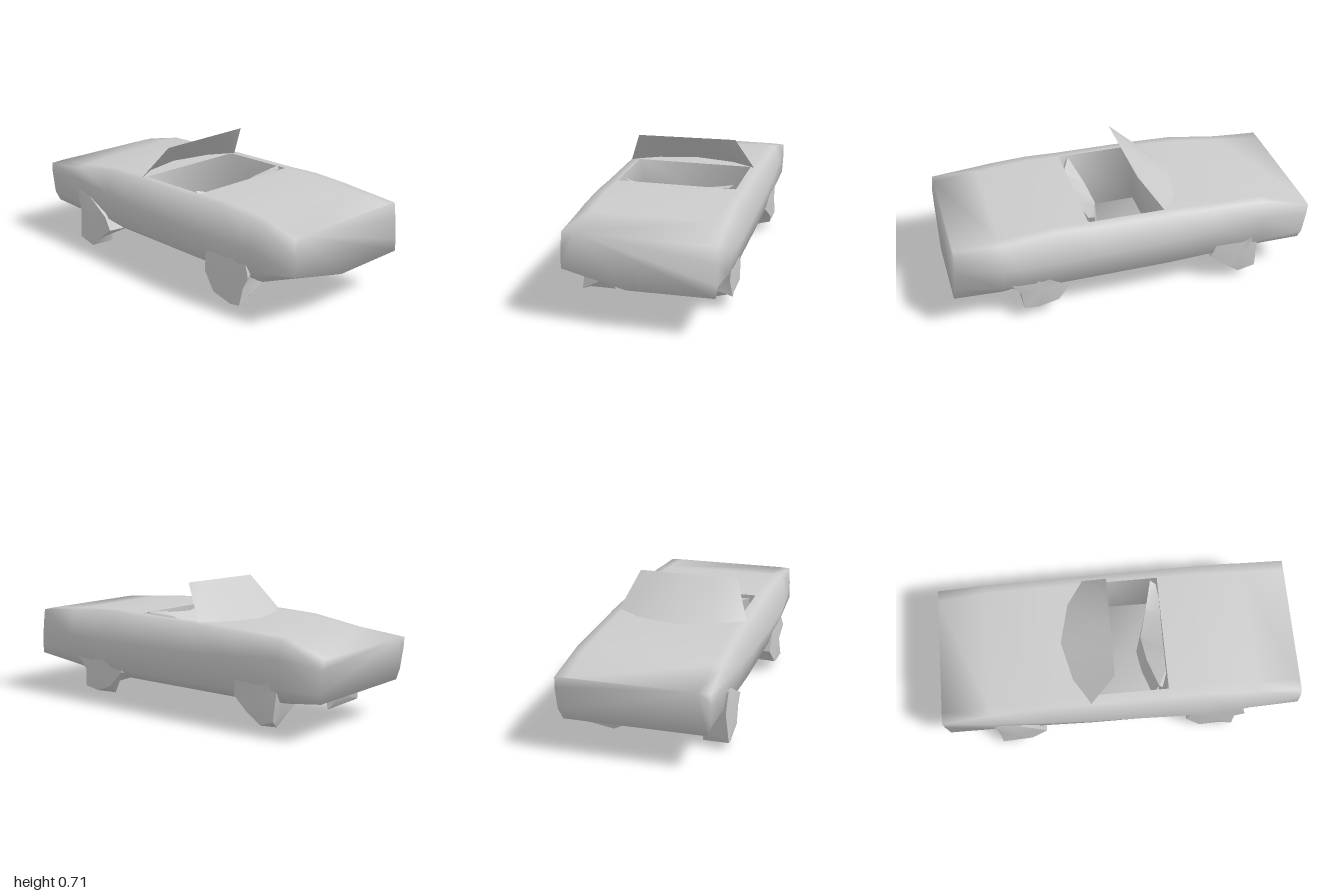
import * as THREE from 'three';
import { toCreasedNormals } from 'three/addons/utils/BufferGeometryUtils.js';

const material = new THREE.MeshStandardMaterial({ color: 0xcccccc, side: THREE.DoubleSide });

// Mesh from a list of triangles, each three [x, y, z] corners
function meshOf(name, tris, crease) {
  const geo = new THREE.BufferGeometry();
  geo.setAttribute('position', new THREE.Float32BufferAttribute(tris.flat(2), 3));
  const mesh = new THREE.Mesh(toCreasedNormals(geo, crease), material);
  mesh.name = name;
  return mesh;
}
const quad = (a, b, c, d) => [[a, b, c], [a, c, d]];

// Triangles joining two equally long rows of points
function strip(a, b) {
  const out = [];
  for (let i = 0; i < a.length - 1; i++) out.push(...quad(a[i], a[i + 1], b[i + 1], b[i]));
  return out;
}

// Body stations: x at top, x at bottom, then y and half width of top, belt, sill and underside
const stations = [
  [-0.995, -0.965, 0.44, 0.385, 0.38, 0.39, 0.26, 0.385, 0.205, 0.36],
  [-0.73, -0.73, 0.503, 0.37, 0.41, 0.405, 0.24, 0.38, 0.165, 0.31],
  [-0.43, -0.43, 0.515, 0.37, 0.39, 0.415, 0.21, 0.375, 0.145, 0.29],
  [-0.18, -0.18, 0.525, 0.37, 0.375, 0.422, 0.205, 0.38, 0.145, 0.29],
  [0.25, 0.25, 0.53, 0.37, 0.37, 0.432, 0.205, 0.38, 0.145, 0.29],
  [0.44, 0.44, 0.537, 0.37, 0.37, 0.435, 0.205, 0.38, 0.145, 0.29],
  [0.64, 0.64, 0.525, 0.375, 0.37, 0.425, 0.21, 0.38, 0.146, 0.28],
  [0.73, 0.73, 0.517, 0.375, 0.375, 0.415, 0.24, 0.38, 0.185, 0.34],
  [0.975, 0.998, 0.495, 0.38, 0.4, 0.385, 0.29, 0.385, 0.228, 0.375],
];
const FRONT = 3, FLOOR = 0.2, OPEN = 0.32;

// Ring around the body, from the left edge of the opening under the car to the right edge
function ring([xt, xb, yt, zt, yb, zb, yl, zl, y0, z0]) {
  const xAt = (y) => xb + (xt - xb) * (y - y0) / (yt - y0);
  const side = [[yt, OPEN], [yt - 0.003, zt], [yb, zb], [yl, zl], [y0, z0]];
  const left = side.map(([y, z]) => [xAt(y), y, z]);
  // The right flank is slightly fuller
  const right = side.map(([y, z]) => [xAt(y), y, -Math.min(z + 0.018, 0.436)]);
  return [...left, ...right.reverse()];
}

function body() {
  const rings = stations.map(ring);
  const tail = rings[rings.length - 1];
  // The hood is lower on its left, and the lower left tail corner is cut away
  rings[1][0][1] = 0.474;
  rings[1][1][1] = 0.466;
  tail[3] = [0.982, 0.3, 0.387];
  tail[4] = [1, 0.226, 0.05];
  const tris = [];
  rings.slice(0, -1).forEach((r, i) => {
    const n = rings[i + 1];
    tris.push(...strip(r, n));
    // Hood and rear deck, leaving the cockpit open
    if (i !== FRONT) tris.push(...quad(r[9], r[0], n[0], n[9]));
  });
  // Nose and tail faces
  for (const [r, flip] of [[rings[0], false], [tail, true]]) {
    for (let i = 1; i < r.length - 1; i++) {
      tris.push(flip ? [r[0], r[i], r[i + 1]] : [r[0], r[i + 1], r[i]]);
    }
  }
  return meshOf('body', tris, 1.8);
}

// Tub with a sloping left wall
function cockpit() {
  const a = ring(stations[FRONT]), b = ring(stations[FRONT + 1]);
  const top = [a[0], b[0], b[9], a[9], a[0]];
  const low = top.map(([x, , z]) => [x > 0 ? x - 0.03 : x, FLOOR, z * (z > 0 ? 0.8 : 0.95)]);
  return meshOf('cockpitTub', [...strip(low, top), ...quad(low[0], low[1], low[2], low[3])], 1.8);
}

// Windscreen bowed forward at its base
function windscreen() {
  const base = [[-0.18, 0.37], [-0.27, 0.22], [-0.32, 0], [-0.27, -0.22], [-0.18, -0.36]]
    .map(([x, z]) => [x, 0.517, z]);
  const top = base.map(([, , z]) => [-0.04, 0.715 - z * 0.01, z * 0.76]);
  return meshOf('windscreen', strip(top, base), 1.2);
}

// Folded seat backs
function seats() {
  const top = [[0.2, 0.53, 0.3], [0.15, 0.46, 0.12], [0.13, 0.42, -0.03], [0.17, 0.5, -0.16], [0.21, 0.54, -0.32]];
  const rear = [[0.22, 0.5, 0.3], [0.26, 0.5, 0.18], [0.28, 0.52, 0.1], [0.26, 0.52, -0.12], [0.24, 0.53, -0.3]];
  const foot = top.map(([x, , z]) => [x - 0.02, FLOOR, z * 0.8]);
  return meshOf('seatBacks', [...strip(foot, top), ...strip(top, rear)], 0.5);
}

// Crumpled wheel: an outer rim, a jagged inner rim and a hub point on each face
function wheel(name, outline, s, [cx, cy], innerHub, lift) {
  const outer = outline.map(([x, y], i) => [x, y + lift, s * (i % 2 ? 0.39 : 0.405)]);
  const inner = outline.map(([x, y], i) => {
    const k = i % 2 ? 1 : 0.65;
    return [cx + (x - cx) * k, cy + (y - cy) * k, s * (i % 2 ? 0.245 : 0.29)];
  });
  outer.push(outer[0]);
  inner.push(inner[0]);
  const tris = strip(outer, inner);
  for (const [row, hub] of [[outer, [cx, cy, s * 0.41]], [inner, innerHub]]) {
    for (let i = 0; i < row.length - 1; i++) tris.push([row[i], row[i + 1], hub]);
  }
  return meshOf(name, tris, 0.9);
}

export function createModel() {
  const car = new THREE.Group();
  car.name = 'convertibleCar';
  car.add(body(), cockpit(), windscreen(), seats());

  const frontRim = [[-0.72, 0.33], [-0.71, 0.2], [-0.7, 0.04], [-0.61, 0.004],
    [-0.53, 0.07], [-0.44, 0.14], [-0.46, 0.22], [-0.64, 0.32]];
  const rearRim = [[0.39, 0.33], [0.36, 0.15], [0.44, 0.06], [0.55, 0.02],
    [0.63, 0.04], [0.64, 0.13], [0.69, 0.21], [0.65, 0.31], [0.6, 0.35], [0.51, 0.37]];
  const frontHub = [-0.61, 0.18], rearHub = [0.53, 0.2];
  car.add(
    wheel('frontWheelLeft', frontRim, 1, frontHub, [-0.6, 0.17, 0.24], 0.01),
    wheel('frontWheelRight', frontRim, -1, frontHub, [-0.59, 0.145, 0.05], 0.04),
    wheel('rearWheelLeft', rearRim, 1, rearHub, [0.53, 0.17, 0.24], 0),
    wheel('rearWheelRight', rearRim, -1, rearHub, [0.53, 0.17, -0.24], 0.04),
  );
  return car;
}
